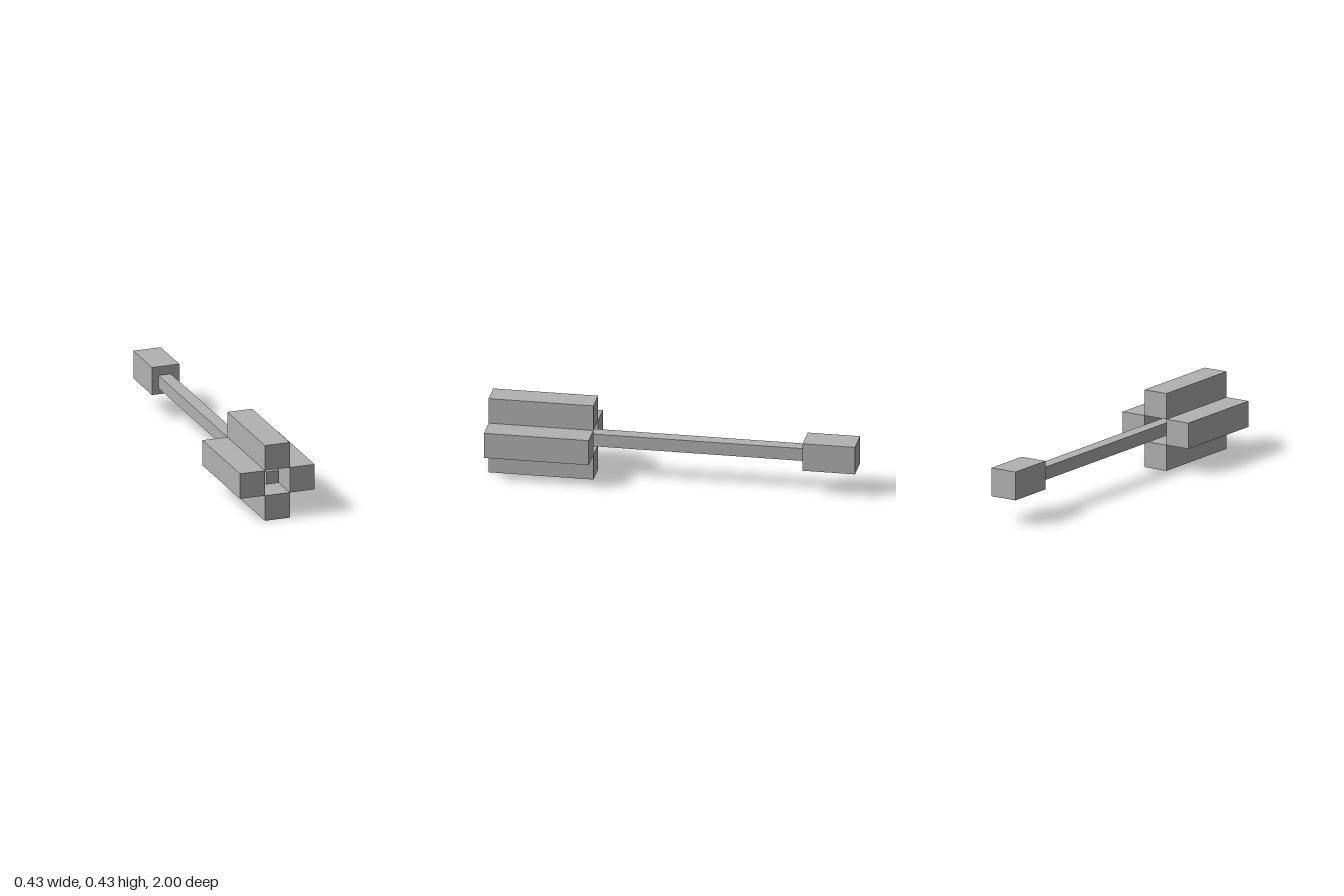
import * as THREE from 'three';

export function createModel() {
  const group = new THREE.Group();
  const grey = new THREE.MeshStandardMaterial({ color: 0xb2b2b2 });
  grey.name = 'grey';

  // Box given by its size and centre
  const addBox = (name, size, centre) => {
    const mesh = new THREE.Mesh(new THREE.BoxGeometry(...size), grey);
    mesh.name = name;
    mesh.position.set(...centre);
    group.add(mesh);
  };

  const bar = 1 / 7;         // bar thickness
  const length = 4 / 7;      // bar length
  const mid = 1.5 * bar;     // height of the axis

  // Head: four bars around an open core
  const head = [['topBar', 0, 1], ['bottomBar', 0, -1], ['leftBar', 1, 0], ['rightBar', -1, 0]];
  for (const [name, dx, dy] of head) {
    addBox(name, [bar, bar, length], [dx * bar, mid + dy * bar, 1 - length / 2]);
  }

  // Shaft: starts just inside the open core and runs back to the grip
  const front = 1 - bar / 2, back = -0.72;
  addBox('shaft', [bar / 2, bar / 2, front - back], [0, mid, (front + back) / 2]);

  // Grip: slightly larger block, offset up and to the left
  const grip = 0.157, gripLength = 2 / 7;
  addBox('grip', [grip, grip, gripLength],
    [-bar / 2 + grip / 2, bar + grip / 2, -1 + gripLength / 2]);

  return group;
}
